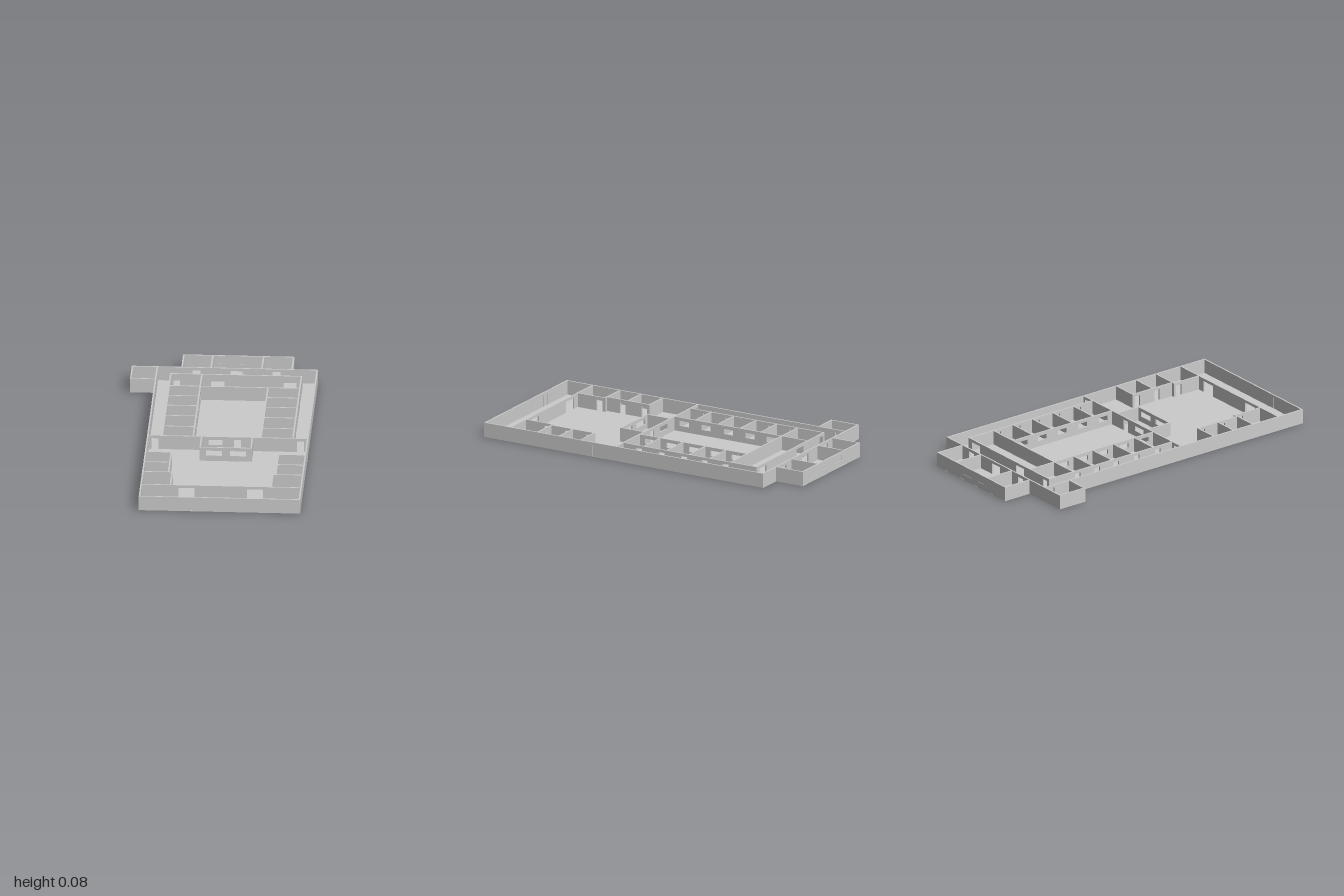
import * as THREE from 'three';

const H = 0.084, T = 0.009, FLOOR = 0.003;
const material = new THREE.MeshStandardMaterial({ color: 0xcccccc, flatShading: true });

// Openings along a wall: centre, width, bottom, top, closed by a leaf or pane
const door = (c, w = 0.045, closed = false) => ({ c, w, y0: FLOOR, y1: 0.068, closed });
const pane = (c, w = 0.06, closed = false) => ({ c, w, y0: 0.035, y1: 0.065, closed });

function rect(path, a, b, y0, y1) {
  path.moveTo(a, y0);
  path.lineTo(b, y0);
  path.lineTo(b, y1);
  path.lineTo(a, y1);
  path.closePath();
  return path;
}

export function createModel() {
  const root = new THREE.Group();
  root.name = 'floorPlan';

  // axis 'x': wall runs along x at z = at; axis 'z': wall runs along z at x = at
  function wall(name, axis, at, from, to, openings = []) {
    const group = new THREE.Group();
    group.name = name;
    const shape = rect(new THREE.Shape(), from - T / 2, to + T / 2, 0, H);
    for (const o of openings) {
      shape.holes.push(rect(new THREE.Path(), o.c - o.w / 2, o.c + o.w / 2, o.y0, o.y1));
      if (o.closed) {
        const leaf = new THREE.Mesh(new THREE.BoxGeometry(o.w, o.y1 - o.y0, T * 0.7), material);
        leaf.name = 'closedPanel';
        leaf.position.set(o.c, (o.y0 + o.y1) / 2, 0);
        group.add(leaf);
      }
    }
    const geometry = new THREE.ExtrudeGeometry(shape, { depth: T, bevelEnabled: false });
    geometry.translate(0, 0, -T / 2);
    const mesh = new THREE.Mesh(geometry, material);
    mesh.name = 'wallPanel';
    group.add(mesh);
    if (axis === 'z') {
      group.rotation.y = -Math.PI / 2;
      group.position.x = at;
    } else group.position.z = at;
    root.add(group);
  }

  function floor(name, x0, x1, z0, z1) {
    const mesh = new THREE.Mesh(new THREE.BoxGeometry(x1 - x0, FLOOR, z1 - z0), material);
    mesh.name = name;
    mesh.position.set((x0 + x1) / 2, FLOOR / 2, (z0 + z1) / 2);
    root.add(mesh);
  }

  const L = -0.379, R = 0.518, B = -0.821, F = 0.993;

  // Floors
  floor('mainFloor', L - T / 2, R + T / 2, B - T / 2, F + T / 2);
  floor('backAnnexFloor', -0.244, 0.381, -1, B - T / 2);
  floor('sideAnnexFloor', -0.523, L - T / 2, -0.825, -0.645);

  // Outer walls
  wall('frontWall', 'x', F, L, R, [door(-0.138, 0.037, true), door(-0.1, 0.037, true),
    door(0.209, 0.037, true), door(0.247, 0.037, true)]);
  wall('backWall', 'x', B, L, R, [door(-0.16), door(0.065, 0.07), door(0.29)]);
  wall('rightOuterWall', 'z', L, B, F, [door(-0.78), door(0.25, 0.075, true)]);
  wall('leftOuterWall', 'z', R, B, F, [door(0.25, 0.075, true)]);

  // Back annex with three rooms
  wall('backAnnexWall', 'x', -0.995, -0.24, 0.377, [pane(0.065, 0.22, true)]);
  for (const x of [-0.24, -0.077, 0.208, 0.377]) wall('backAnnexCrossWall', 'z', x, -0.995, B);

  // Side annex
  wall('sideAnnexWall', 'z', -0.518, B, -0.65, [pane(-0.735, 0.05, true)]);
  for (const z of [B, -0.65]) wall('sideAnnexEndWall', 'x', z, -0.518, L);

  // Inner block around the central hall
  const dividers = [-0.56, -0.423, -0.288, -0.143, 0.005];
  const roomCentres = [-0.492, -0.355, -0.215, -0.069, 0.073];
  const corridorDoors = dividers.map((z) => door(z + 0.03, 0.04));
  const hallWindows = roomCentres.map((z) => pane(z, 0.06));
  wall('innerBackWall', 'x', -0.729, -0.298, 0.435,
    [door(-0.265, 0.035), door(-0.035, 0.075), door(0.37, 0.075)]);
  wall('crossWall', 'x', 0.14, L, R,
    [door(-0.34, 0.04), pane(0.0, 0.08), door(0.125, 0.04), door(0.478, 0.04)]);
  wall('rightCorridorWall', 'z', -0.298, -0.729, 0.14, corridorDoors);
  wall('leftCorridorWall', 'z', 0.435, -0.729, 0.14, corridorDoors);
  wall('rightHallWall', 'z', -0.124, -0.729, 0.14, hallWindows);
  wall('leftHallWall', 'z', 0.256, -0.56, 0.14, hallWindows);
  wall('hallBackWall', 'x', -0.56, -0.298, 0.435);
  for (const z of dividers.slice(1)) {
    wall('rightRoomDivider', 'x', z, -0.298, -0.124);
    wall('leftRoomDivider', 'x', z, 0.256, 0.435);
  }

  // Central booth
  wall('boothFront', 'x', 0.29, -0.077, 0.208, [pane(0.0, 0.09), pane(0.135, 0.09)]);
  for (const x of [-0.077, 0.208]) wall('boothSide', 'z', x, 0.14, 0.29);

  // Rooms on both sides of the front hall
  const sideDoors = [door(0.4, 0.035), door(0.54, 0.035)];
  wall('rightFrontRoomWall', 'z', -0.235, 0.37, 0.645, sideDoors);
  wall('leftFrontRoomWall', 'z', 0.367, 0.37, 0.645, sideDoors);
  wall('rightCornerRoomWall', 'z', -0.214, 0.645, 0.826, [door(0.68, 0.04)]);
  wall('leftCornerRoomWall', 'z', 0.351, 0.65, 0.826, [door(0.68, 0.04)]);
  for (const z of [0.37, 0.51]) {
    wall('rightFrontDivider', 'x', z, L, -0.235);
    wall('leftFrontDivider', 'x', z, 0.367, R);
  }
  wall('rightCornerDivider', 'x', 0.647, L, -0.214);
  wall('leftCornerDivider', 'x', 0.65, 0.351, R);

  // Vestibule wall with two wide doorways
  wall('vestibuleWall', 'x', 0.826, L, R, [door(-0.125, 0.09), door(0.26, 0.09)]);

  return root;
}
